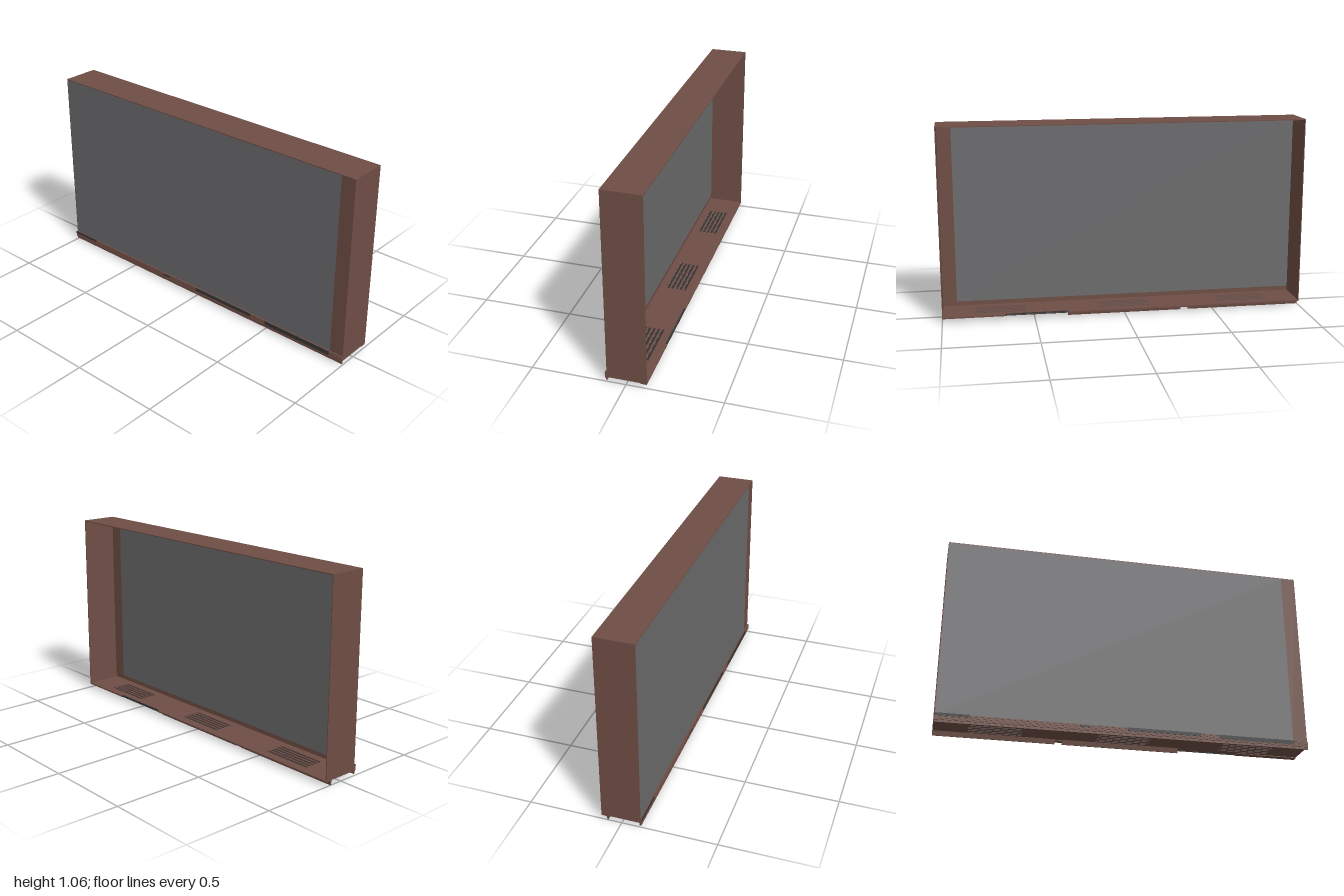
import * as THREE from 'three';

const brown = new THREE.MeshStandardMaterial({ color: 0x6f4e45 });
brown.name = 'brown casing';
const grey = new THREE.MeshStandardMaterial({ color: 0x6c6c6e });
grey.name = 'grey panel';
const dark = new THREE.MeshStandardMaterial({ color: 0x363636 });
dark.name = 'dark trim';

export function createModel() {
  const model = new THREE.Group();
  model.name = 'openBackedPanelCase';

  // box given by its limits on each axis
  const box = (name, mat, [x0, x1], [y0, y1], [z0, z1], parent = model) => {
    const mesh = new THREE.Mesh(new THREE.BoxGeometry(x1 - x0, y1 - y0, z1 - z0), mat);
    mesh.position.set((x0 + x1) / 2, (y0 + y1) / 2, (z0 + z1) / 2);
    mesh.name = name;
    parent.add(mesh);
    return mesh;
  };

  // thin-walled shell, open at the back
  box('topWall', brown, [-1, 1], [1.058, 1.063], [-0.108, 0.1]);
  box('leftWall', brown, [0.996, 1], [0.026, 1.058], [-0.108, 0.1]);
  box('rightWall', brown, [-1, -0.996], [0.026, 1.058], [-0.108, 0.1]);

  // front face: large panel and narrow side strip
  box('frontPanel', grey, [-0.996, 0.92], [0.055, 1.058], [0.094, 0.1]);
  box('sideStrip', brown, [0.92, 0.996], [0.055, 1.058], [0.094, 0.1]);

  // floor with three groups of ventilation slots
  const ventCentres = [-0.68, 0, 0.68];
  const slotZ = [-0.05, -0.026, -0.002, 0.022, 0.046];
  const floorShape = new THREE.Shape();
  floorShape.moveTo(-0.996, -0.1).lineTo(0.996, -0.1).lineTo(0.996, 0.108).lineTo(-0.996, 0.108).closePath();
  for (const cx of ventCentres) {
    for (const z of slotZ) {
      const hole = new THREE.Path();
      const a = cx - 0.14, b = cx + 0.14, c = -z - 0.007, d = -z + 0.007;
      hole.moveTo(a, c).lineTo(a, d).lineTo(b, d).lineTo(b, c).closePath();
      floorShape.holes.push(hole);
    }
  }
  const floorGeometry = new THREE.ExtrudeGeometry(floorShape, { depth: 0.004, bevelEnabled: false });
  floorGeometry.rotateX(-Math.PI / 2);
  const floor = new THREE.Mesh(floorGeometry, brown);
  floor.name = 'floor';
  floor.position.y = 0.026;
  model.add(floor);

  // dark louvres set in the slots
  const louvres = new THREE.Group();
  louvres.name = 'louvres';
  for (const cx of ventCentres) {
    for (const z of slotZ) {
      const slat = box('louvre', dark, [cx - 0.14, cx + 0.14], [0.026, 0.029], [z - 0.006, z + 0.006], louvres);
      slat.rotation.x = 0.35;
    }
  }
  model.add(louvres);

  // stepped lip under the front panel
  box('frontLip', brown, [-1, 1], [0.022, 0.055], [0.096, 0.108]);
  box('frontLipFoot', brown, [-1, 1], [0.01, 0.022], [0.096, 0.104]);
  for (const y of [0.028, 0.038, 0.048]) {
    box('lipRib', brown, [-1, 1], [y, y + 0.004], [0.108, 0.11]);
  }

  // worn dark seal showing along the lip
  const seals = [[-1, -0.82, 0.044, 0.058], [0, 0.4, 0.038, 0.056], [0.5, 0.92, 0.032, 0.054], [-0.25, -0.2, 0.04, 0.05]];
  for (const [x0, x1, y0, y1] of seals) {
    box('seal', dark, [x0, x1], [y0, y1], [0.108, 0.1105]);
  }

  // rear flange and its dark insert
  box('rearFlange', brown, [0.66, 1], [0.022, 0.026], [-0.108, -0.075]);
  box('rearFlange', brown, [-1, 0.32], [0.022, 0.026], [-0.108, -0.075]);
  box('flangeInsert', dark, [0.32, 0.66], [0.024, 0.034], [-0.108, -0.1]);

  // tapered runners under the rear edge
  for (const [x0, x1] of [[-1, -0.36], [-0.32, 0.315]]) {
    const wedge = new THREE.Shape();
    wedge.moveTo(-0.007, 0.026).lineTo(-0.002, 0).lineTo(0.002, 0).lineTo(0.007, 0.026).closePath();
    const geometry = new THREE.ExtrudeGeometry(wedge, { depth: x1 - x0, bevelEnabled: false });
    geometry.rotateY(Math.PI / 2);
    const runner = new THREE.Mesh(geometry, brown);
    runner.name = 'runner';
    runner.position.set(x0, 0, -0.074);
    model.add(runner);
  }

  return model;
}
